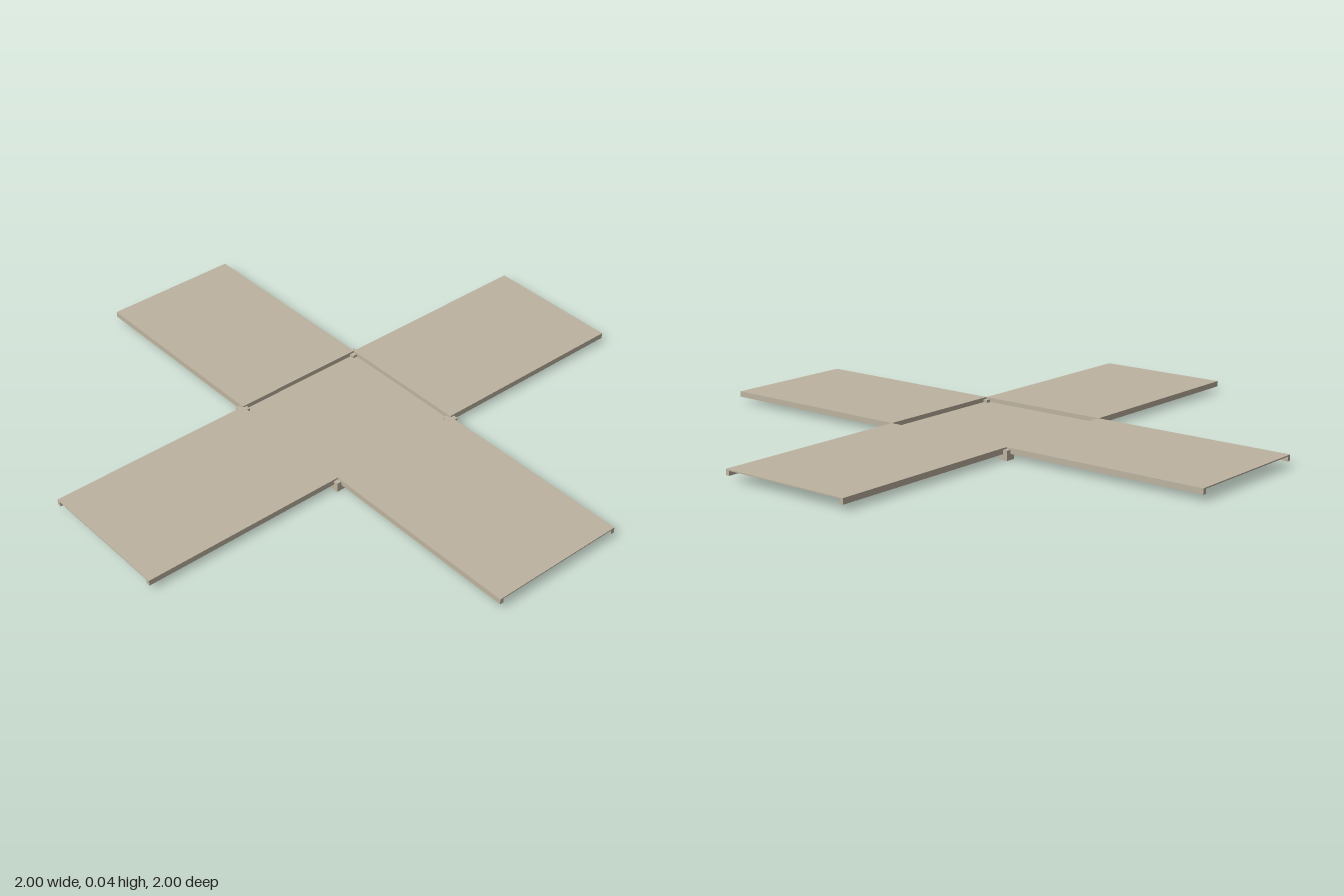
import * as THREE from 'three';

const TOP = 0.04;      // upper surface of the arms
const LOW = 0.02;      // underside of the lips and of the sunken centre
const HALF = 0.25;     // half width of every panel
const SHEET = 0.004;   // panel thickness
const LIP = 0.014;     // side lip thickness

export function createModel() {
  const root = new THREE.Group();
  root.name = 'crossPlatform';
  const stone = new THREE.MeshStandardMaterial({ color: 0xbdb3a0 });
  stone.name = 'paleStone';

  const box = (parent, name, w, h, d, x, y, z) => {
    const mesh = new THREE.Mesh(new THREE.BoxGeometry(w, h, d), stone);
    mesh.name = name;
    mesh.position.set(x, y, z);
    parent.add(mesh);
  };

  // sunken centre panel
  box(root, 'centrePanel', 2 * HALF, SHEET, 2 * HALF, 0, LOW + SHEET / 2, 0);

  // four arms: a thin sheet with hanging side lips, open at the outer end
  const length = 1 - HALF;
  const mid = HALF + length / 2;
  const lipY = (TOP + LOW) / 2;
  for (let i = 0; i < 4; i++) {
    const arm = new THREE.Group();
    arm.name = 'arm' + (i + 1);
    arm.rotation.y = i * Math.PI / 2;
    box(arm, 'armPanel', 2 * HALF, SHEET, length, 0, TOP - SHEET / 2, mid);
    for (const s of [-1, 1]) {
      box(arm, 'sideLip', LIP, TOP - LOW - SHEET, length,
        s * (HALF - LIP / 2), lipY - SHEET / 2, mid);
    }
    // step between the arm and the centre
    box(arm, 'innerStep', 2 * (HALF - LIP), TOP - LOW - SHEET, SHEET,
      0, lipY - SHEET / 2, HALF + SHEET / 2);
    root.add(arm);
  }

  // short feet under the four inner corners
  for (const sx of [-1, 1]) {
    for (const sz of [-1, 1]) {
      box(root, 'cornerFoot', 0.034, 0.034, 0.034, sx * HALF, 0.017, sz * HALF);
    }
  }
  return root;
}
